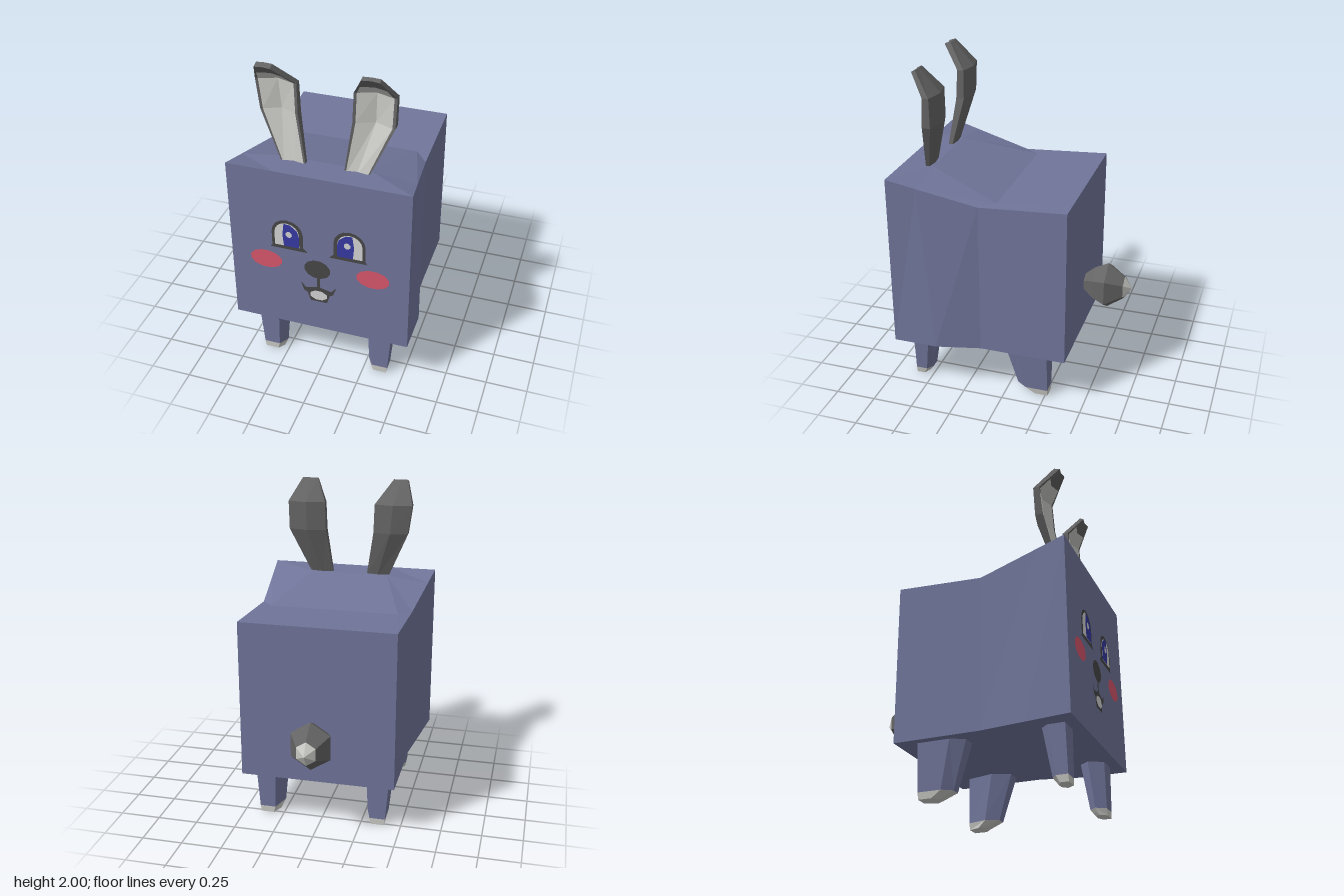
import * as THREE from 'three';

const mat = (name, color, side = THREE.FrontSide) =>
  Object.assign(new THREE.MeshStandardMaterial({ color, side }), { name });

export function createModel() {
  const model = new THREE.Group();
  model.name = 'rabbit';
  const fur = mat('slate blue fur', 0x70759a);
  const grey = mat('grey ear and tail', 0x646464);
  const light = mat('pale grey', 0xc8c8c4, THREE.DoubleSide);
  const dark = mat('charcoal', 0x464646);
  const white = mat('eye white', 0xd2d2d2);
  const blue = mat('iris blue', 0x3639a2);
  const pink = mat('cheek pink', 0xd6566b);

  const add = (name, geo, material, parent = model) => {
    const mesh = new THREE.Mesh(geo, material);
    mesh.name = name;
    parent.add(mesh);
    return mesh;
  };

  // Flat-faced skin over a series of rings; closed skins are capped and turned outward
  function loft(rings, closed = true) {
    const tris = [];
    const n = rings[0].length;
    for (let r = 0; r < rings.length - 1; r++) {
      for (let i = 0; i < (closed ? n : n - 1); i++) {
        const j = (i + 1) % n, a = rings[r], b = rings[r + 1];
        tris.push([a[i], a[j], b[j]], [a[i], b[j], b[i]]);
      }
    }
    if (closed) {
      [rings[0], rings[rings.length - 1]].forEach((ring, end) => {
        const c = [0, 1, 2].map(k => ring.reduce((s, p) => s + p[k], 0) / n);
        ring.forEach((p, i) => {
          const q = ring[(i + 1) % n];
          tris.push(end ? [c, p, q] : [c, q, p]);
        });
      });
      const v = p => new THREE.Vector3(...p);
      const volume = tris.reduce((s, [a, b, c]) => s + v(a).dot(v(b).cross(v(c))), 0);
      if (volume < 0) tris.forEach(t => t.reverse());
    }
    const geo = new THREE.BufferGeometry();
    geo.setAttribute('position', new THREE.Float32BufferAttribute(tris.flat(2), 3));
    geo.computeVertexNormals();
    return geo;
  }

  // Body: box with a flared face end and a dip in the back
  const bodyRing = (bottom, bottomRight, edge, inner) => [
    bottom, edge, inner,
    [-inner[0], inner[1], inner[2]], [-edge[0], edge[1], edge[2]], [-bottomRight, bottom[1], bottom[2]],
  ];
  add('body', loft([
    bodyRing([0.54, 0.32, 0.68], 0.54, [0.54, 1.4, 0.68], [0.25, 1.4, 0.68]),
    bodyRing([0.54, 0.32, 0.41], 0.508, [0.518, 1.357, 0.5], [0.25, 1.392, 0.5]),
    bodyRing([0.475, 0.32, 0.14], 0.475, [0.475, 1.272, 0.14], [0.4, 1.278, 0.05]),
    bodyRing([0.475, 0.32, -0.39], 0.475, [0.475, 1.305, -0.39], [0.4, 1.305, -0.39]),
  ]), fur);

  // Legs: tapered prisms with pale toes; zFix is the upright side, zMove the slanted one
  const legRing = (s, y, x0, x1, zFix, zMove) => {
    const z = t => zFix + (zMove - zFix) * t, c = x0 + (x1 - x0) * 0.27;
    return [[x1, 0], [x1, 0.7], [x1 - 0.04, 1], [c, 1], [x0, 0.6], [c, 0]]
      .map(([x, t]) => [s * x, y, z(t)]);
  };
  for (const [s, side] of [[1, 'left'], [-1, 'right']]) {
    for (const [end, zFix, zTop, zLow, zToe] of [
      ['Front', 0.61, 0.463, 0.51, 0.54], ['Back', -0.265, 0.02, -0.065, -0.15]]) {
      const leg = new THREE.Group();
      leg.name = side + end + 'Leg';
      model.add(leg);
      const top = legRing(s, 0.33, 0.25, 0.425, zFix, zTop);
      const ankle = legRing(s, 0.04, 0.268, 0.402, zFix, zLow);
      const sole = legRing(s, 0, 0.285, 0.395, zFix, zToe);
      add('leg', loft([top, ankle]), fur, leg);
      add('toe', loft([ankle, sole]), light, leg);
    }
  }

  // Ears: levels are [y, xMin, xMax, zRim, zBack, zRidge, zHollow]
  const ears = {
    rightEar: [
      [1.37, -0.25, -0.11, 0.548, 0.525, 0.515, 0.535],
      [1.68, -0.385, -0.165, 0.505, 0.455, 0.43, 0.455],
      [1.86, -0.41, -0.17, 0.495, 0.455, 0.43, 0.455],
      [1.99, -0.36, -0.27, 0.612, 0.575, 0.57, 0.605]],
    leftEar: [
      [1.37, 0.11, 0.25, 0.545, 0.525, 0.515, 0.535],
      [1.68, 0.145, 0.385, 0.5, 0.45, 0.425, 0.45],
      [1.86, 0.15, 0.39, 0.49, 0.45, 0.425, 0.45],
      [1.985, 0.22, 0.32, 0.578, 0.555, 0.55, 0.57]],
  };
  for (const [name, levels] of Object.entries(ears)) {
    const ear = new THREE.Group();
    ear.name = name;
    model.add(ear);
    add('earShell', loft(levels.map(([y, a, b, rim, back, ridge, hollow]) => {
      const m = (a + b) / 2, lift = y > 1.9 ? 0.012 : 0;
      return [[a, y, rim], [m, y, hollow], [b, y, rim],
        [b, y + lift, back], [m, y + lift, ridge], [a, y + lift, back]];
    })), grey, ear);
    // Pale lining just in front of the hollow, stopping short of the tip
    const [, , wide, tip] = levels;
    const end = wide.map((v, i) => v + (tip[i] - v) * 0.5);
    add('earLining', loft([...levels.slice(0, 3), end].map(([y, a, b, rim, , , hollow]) => {
      const m = (a + b) / 2, k = 0.86;
      const z = hollow + (rim - hollow) * k + 0.005;
      return [[m + (a - m) * k, y, z], [m, y, hollow + 0.005], [m + (b - m) * k, y, z]];
    }), false), light, ear);
  }

  // Tail: faceted bulb with a pale tip
  const tailRing = (z, r) => Array.from({ length: 6 }, (_, i) => {
    const a = i * Math.PI / 3;
    return [Math.sin(a) * r * 0.9, 0.625 + Math.cos(a) * r, z];
  });
  const tip = tailRing(-0.64, 0.075);
  add('tail', loft([tailRing(-0.385, 0.05), tailRing(-0.45, 0.11), tailRing(-0.535, 0.153), tip]), grey);
  add('tailTip', loft([tip, tailRing(-0.685, 0.002)]), light);

  // Face: thin plates layered on the flat front
  const plate = (name, pts, material, layer = 1) => {
    const shape = new THREE.Shape(pts.map(p => new THREE.Vector2(...p)));
    const mesh = add(name, new THREE.ShapeGeometry(shape), material);
    mesh.position.z = 0.68 + layer * 0.002;
  };
  const oval = (cx, cy, rx, ry, n = 12) => Array.from({ length: n }, (_, i) => {
    const a = (i + 0.5) / n * Math.PI * 2;
    return [cx + Math.cos(a) * rx, cy + Math.sin(a) * ry];
  });
  const arch = (x0, x1, y0, y1) => {
    const m = (x0 + x1) / 2, w = (x1 - x0) / 2, spring = y1 - w * 0.95;
    return [[x0, y0], [x1, y0], ...Array.from({ length: 9 }, (_, i) => {
      const a = i / 8 * Math.PI;
      return [m + Math.cos(a) * w, spring + Math.sin(a) * (y1 - spring)];
    })];
  };
  for (const [s, side] of [[1, 'left'], [-1, 'right']]) {
    const flip = pts => pts.map(([x, y]) => [s * x, y]);
    plate(side + 'EyeOutline', flip(arch(0.092, 0.282, 0.88, 1.082)), dark);
    plate(side + 'Lash', flip([[0.065, 0.878], [0.295, 0.878], [0.27, 0.905], [0.09, 0.905]]), dark);
    plate(side + 'EyeWhite', flip(arch(0.115, 0.264, 0.902, 1.062)), white, 2);
    plate(side + 'Iris', flip([[0.115, 0.902], [0.208, 0.902], [0.215, 0.98], [0.205, 1.058],
      [0.165, 1.054], [0.125, 1.02], [0.115, 0.985]]), blue, 3);
    plate(side + 'EyeHighlight', oval(s * 0.175, 0.988, 0.02, 0.022, 8), white, 4);
    plate(side + 'Cheek', oval(s * 0.325, 0.778, 0.1, 0.064), pink);
    plate(side + 'Smile', [[0.11, 0.66], [0.09, 0.6], [0.06, 0.585], [0, 0.615], [0, 0.645],
      [0.055, 0.615], [0.08, 0.625]].map(([x, y]) => [s * x - 0.005, y]), dark);
  }
  plate('nose', oval(-0.01, 0.77, 0.08, 0.066), dark);
  plate('lipLine', [[-0.014, 0.63], [0.006, 0.63], [0.004, 0.715], [-0.012, 0.715]], dark);
  plate('mouth', [[-0.055, 0.53], [0.045, 0.53], [0.075, 0.62], [-0.005, 0.642], [-0.085, 0.62]], dark);
  plate('teeth', oval(-0.005, 0.578, 0.055, 0.036, 8), white, 2);

  return model;
}
